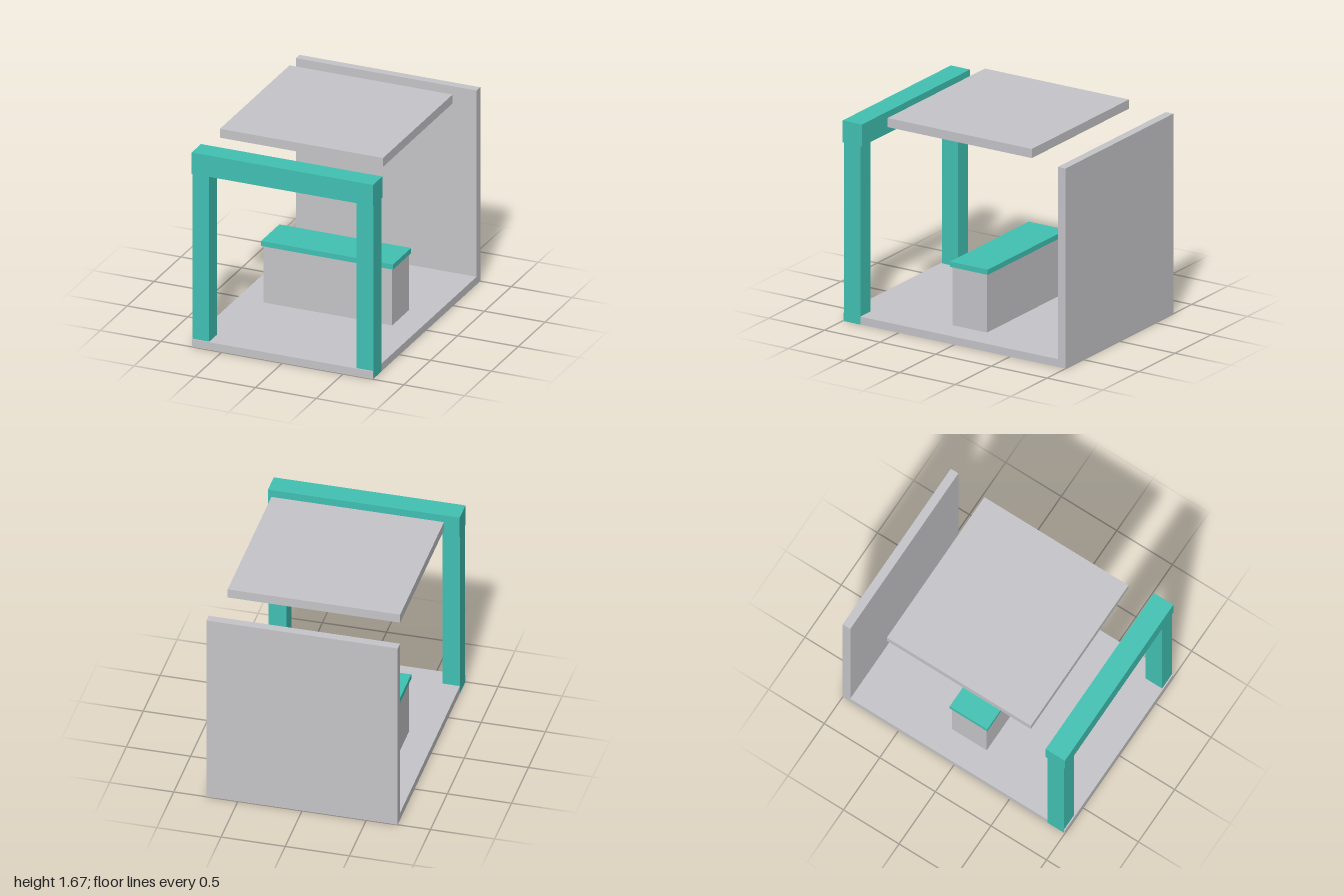
import * as THREE from 'three';

export function createModel() {
  const group = new THREE.Group();
  group.name = 'marketStall';
  const grey = new THREE.MeshStandardMaterial({ color: 0xc5c5c9 });
  grey.name = 'pale grey';
  const teal = new THREE.MeshStandardMaterial({ color: 0x41c1b3 });
  teal.name = 'teal';

  // Box given by its extents along each axis
  function slab(name, material, [x0, x1], [y0, y1], [z0, z1]) {
    const mesh = new THREE.Mesh(new THREE.BoxGeometry(x1 - x0, y1 - y0, z1 - z0), material);
    mesh.position.set((x0 + x1) / 2, (y0 + y1) / 2, (z0 + z1) / 2);
    mesh.name = name;
    group.add(mesh);
  }

  // Floor, back wall and floating roof panel
  slab('floor', grey, [-0.745, 0.745], [0, 0.063], [-1, 1]);
  slab('backWall', grey, [-0.745, 0.745], [0, 1.597], [-1, -0.932]);
  slab('roofPanel', grey, [-0.672, 0.672], [1.592, 1.665], [-0.65, 0.645]);

  // Front gateway: posts run down through the floor, a hair proud of its sides
  slab('leftPost', teal, [0.607, 0.746], [-0.0005, 1.43], [0.843, 0.99]);
  slab('rightPost', teal, [-0.746, -0.607], [0.0005, 1.43], [0.843, 0.99]);
  slab('frontBeam', teal, [-0.747, 0.747], [1.425, 1.6], [0.827, 1]);

  // Counter with an overhanging top
  slab('counterBase', grey, [-0.53, 0.53], [0.06, 0.532], [-0.155, 0.155]);
  slab('counterTop', teal, [-0.543, 0.543], [0.53, 0.572], [-0.17, 0.168]);

  return group;
}
